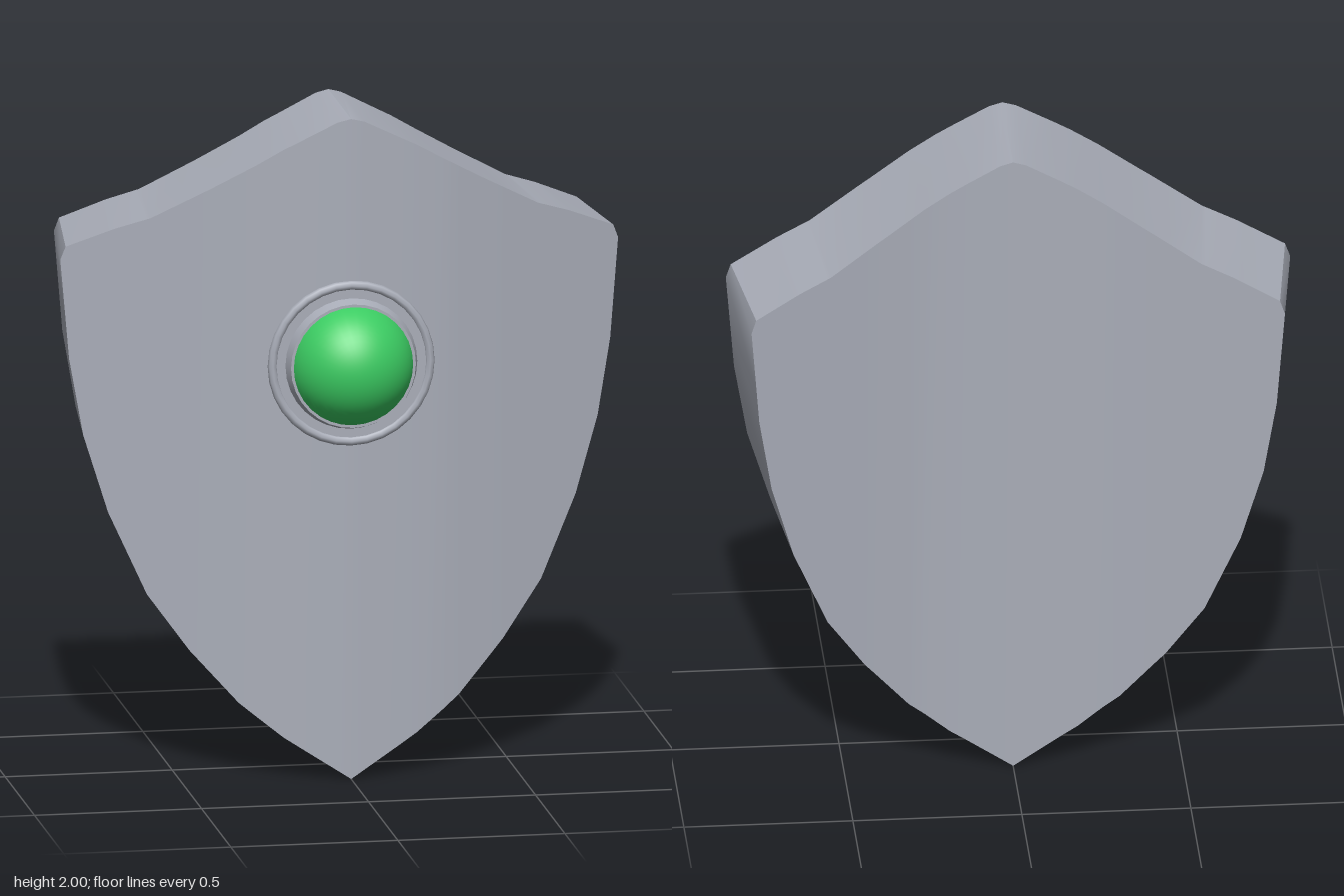
import * as THREE from 'three';
import { toCreasedNormals } from 'three/addons/utils/BufferGeometryUtils.js';

// Half outline: [x, y] along the top edge and the bottom edge, and [x, z] of the bent front
const TOP = [[0, 2], [0.04, 1.99], [0.2, 1.91], [0.4, 1.795], [0.58, 1.695], [0.68, 1.66], [0.82, 1.6], [0.835, 1.56]];
const BOTTOM = [[0, 0], [0.2, 0.13], [0.33, 0.235], [0.47, 0.39], [0.59, 0.555], [0.7, 0.8], [0.77, 1.03], [0.81, 1.26], [0.835, 1.56]];
const BEND = [[0, 0.205], [0.15, 0.194], [0.28, 0.178], [0.43, 0.135], [0.835, 0]];
const EDGE = 0.835;

function sample(table, x) {
  const a = Math.abs(x);
  const i = Math.max(1, table.findIndex(p => p[0] >= a - 1e-9));
  const [x0, y0] = table[i - 1], [x1, y1] = table[i];
  return THREE.MathUtils.lerp(y0, y1, (a - x0) / (x1 - x0));
}

// Thick plate made of vertical strips: front, back, top rim and bottom rim
function plateGeometry() {
  const half = [...new Set([...TOP, ...BOTTOM, ...BEND].map(p => p[0]))].sort((a, b) => a - b);
  const xs = [...half.slice(1).reverse().map(x => -x), ...half];
  const positions = [];
  const tri = (a, b, c) => {
    const area = new THREE.Triangle(a, b, c).getArea();
    if (area > 1e-8) for (const p of [a, b, c]) positions.push(p.x, p.y, p.z);
  };
  const quad = (a, b, c, d) => { tri(a, b, c); tri(a, c, d); };
  const columns = xs.map(x => {
    const z = sample(BEND, x);
    const zBack = z - 0.39 + 0.02 * Math.abs(x) / EDGE;
    const xBack = x * 0.945;
    const t = sample(TOP, x), b = sample(BOTTOM, x);
    return {
      ft: new THREE.Vector3(x, t, z), fb: new THREE.Vector3(x, b, z),
      bt: new THREE.Vector3(xBack, t, zBack), bb: new THREE.Vector3(xBack, b, zBack),
    };
  });
  for (let i = 0; i < columns.length - 1; i++) {
    const l = columns[i], r = columns[i + 1];
    quad(l.fb, r.fb, r.ft, l.ft);
    quad(r.bb, l.bb, l.bt, r.bt);
    quad(l.ft, r.ft, r.bt, l.bt);
    quad(l.bb, r.bb, r.fb, l.fb);
  }
  const geometry = new THREE.BufferGeometry();
  geometry.setAttribute('position', new THREE.Float32BufferAttribute(positions, 3));
  return toCreasedNormals(geometry, 0.5);
}

export function createModel() {
  const steel = new THREE.MeshStandardMaterial({ color: 0xa9adb8 });
  steel.name = 'steel';
  const green = new THREE.MeshStandardMaterial({ color: 0x3bcb62 });
  green.name = 'green';

  const model = new THREE.Group();
  model.name = 'shield';
  const add = (parent, name, geometry, material, z = 0) => {
    const mesh = new THREE.Mesh(geometry, material);
    mesh.name = name;
    mesh.position.z = z;
    parent.add(mesh);
  };

  add(model, 'plate', plateGeometry(), steel);

  // Round boss, built along z
  const boss = new THREE.Group();
  boss.name = 'boss';
  boss.position.y = 1.26;
  model.add(boss);

  const disc = new THREE.CylinderGeometry(0.235, 0.235, 0.016, 32).rotateX(Math.PI / 2);
  add(boss, 'backingDisc', disc, steel, 0.2);
  add(boss, 'outerRing', new THREE.TorusGeometry(0.236, 0.014, 8, 32), steel, 0.203);
  const collar = new THREE.CylinderGeometry(0.187, 0.2, 0.045, 32).rotateX(Math.PI / 2);
  add(boss, 'collar', collar, steel, 0.2215);

  // Only the cap of the sphere that rises out of the collar
  const gem = new THREE.SphereGeometry(0.19, 32, 14, 0, Math.PI * 2, 0, 1.26).rotateX(Math.PI / 2);
  add(boss, 'gem', gem, green, 0.18);

  return model;
}
